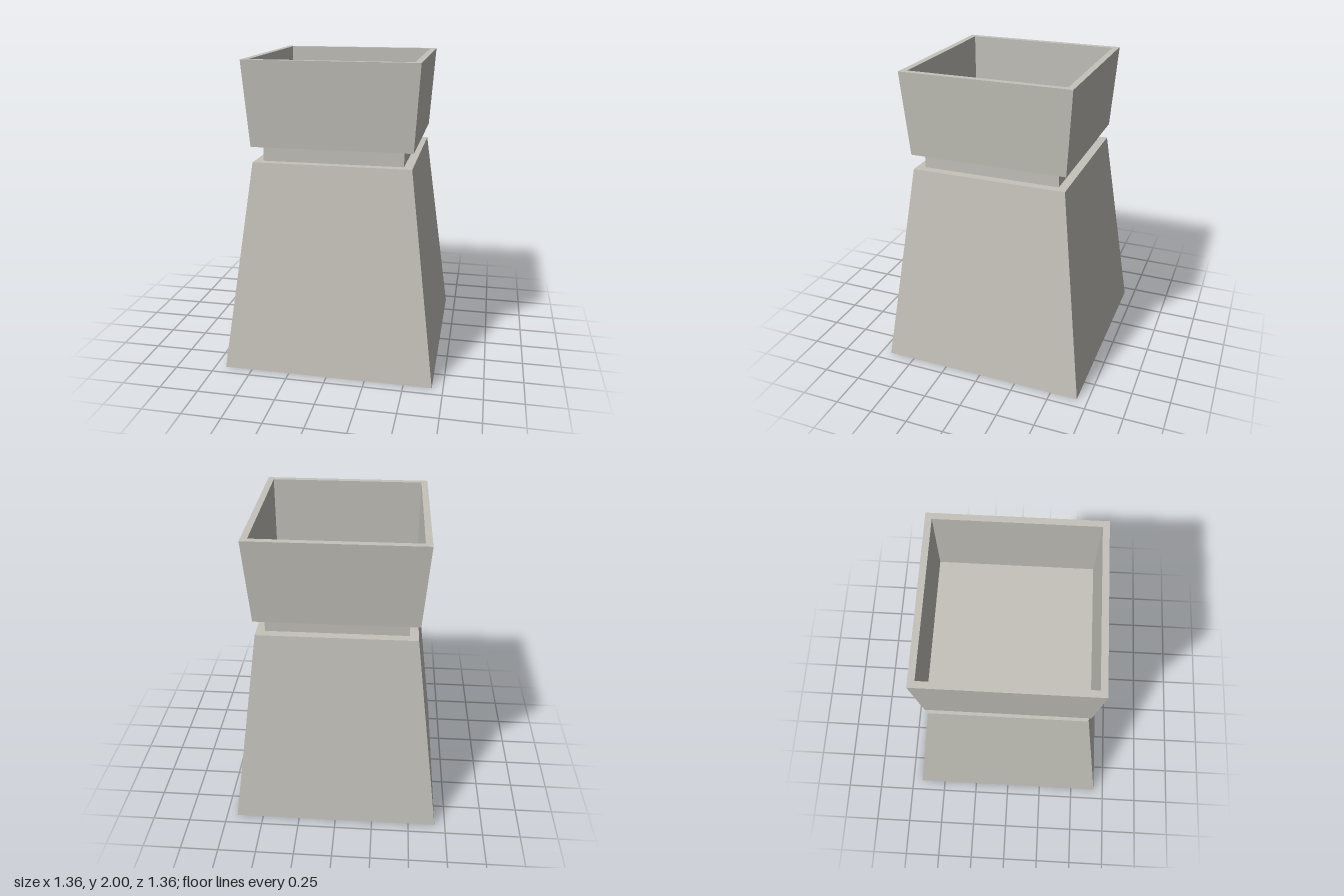
import * as THREE from 'three';

const stone = new THREE.MeshStandardMaterial({ color: 0xc4c2ba });
stone.name = 'warm grey stone';
stone.flatShading = true;

// Square solid of revolution: profile points are [half width, height], bottom to top
function squareLathe(name, profile) {
  const points = profile.map(([half, y]) => new THREE.Vector2(half * Math.SQRT2, y));
  const geometry = new THREE.LatheGeometry(points, 4).rotateY(Math.PI / 4).toNonIndexed();
  geometry.computeVertexNormals();
  const mesh = new THREE.Mesh(geometry, stone);
  mesh.name = name;
  return mesh;
}

export function createModel() {
  const planter = new THREE.Group();
  planter.name = 'planter';

  // Tapered solid pedestal
  planter.add(squareLathe('pedestal', [[0, 0], [0.68, 0], [0.503, 1.36], [0, 1.36]]));

  // Recessed neck between pedestal and bowl
  planter.add(squareLathe('neck', [[0.447, 1.36], [0.447, 1.46]]));

  // Flared open bowl with upright inner walls and a thin floor
  planter.add(squareLathe('bowl', [
    [0, 1.46], [0.51, 1.46], [0.545, 2], [0.504, 2], [0.504, 1.465], [0, 1.465],
  ]));

  return planter;
}
